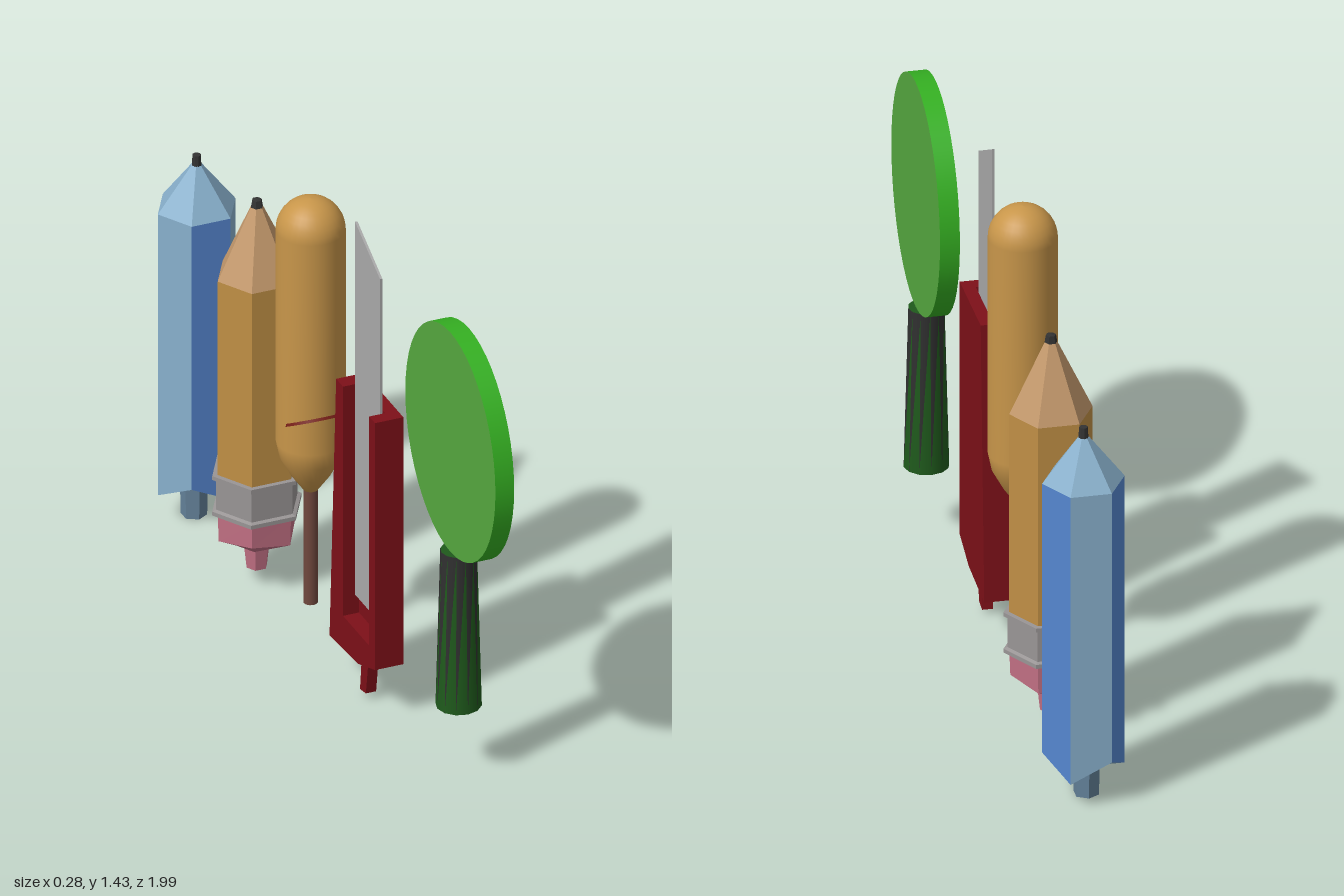
import * as THREE from 'three';

const mat = (color, extra = {}) => new THREE.MeshStandardMaterial({ color, ...extra });
const flat = { flatShading: true };

function add(parent, name, geometry, material, x = 0, y = 0, z = 0) {
  const mesh = new THREE.Mesh(geometry, material);
  mesh.name = name;
  mesh.position.set(x, y, z);
  parent.add(mesh);
  return mesh;
}

// Six-sided loft, rings listed from top to bottom as [radius, yEven, yOdd];
// sides with an odd number take material 1, the rest material 0.
function hexLoft(rings) {
  const pos = [];
  const geo = new THREE.BufferGeometry();
  const point = ([r, yEven, yOdd = yEven], k) => {
    const a = k * Math.PI / 3;
    return [r * Math.cos(a), k % 2 ? yOdd : yEven, r * Math.sin(a)];
  };
  for (let k = 0; k < 6; k++) {
    for (let i = 0; i < rings.length - 1; i++) {
      const a = point(rings[i], k), b = point(rings[i], k + 1);
      const c = point(rings[i + 1], k + 1), d = point(rings[i + 1], k);
      pos.push(...a, ...b, ...c, ...a, ...c, ...d);
    }
    const n = (rings.length - 1) * 6;
    geo.addGroup(k * n, n, k % 2);
  }
  geo.setAttribute('position', new THREE.Float32BufferAttribute(pos, 3));
  geo.computeVertexNormals();
  return geo;
}

// Extrude a side outline of [z, y] points between two x positions
function sidePlate(points, xMin, xMax) {
  const shape = new THREE.Shape(points.map(([z, y]) => new THREE.Vector2(z, y)));
  return new THREE.ExtrudeGeometry(shape, { depth: xMax - xMin, bevelEnabled: false })
    .rotateY(-Math.PI / 2).translate(xMax, 0, 0);
}

function makeMagnifier() {
  const g = new THREE.Group();
  g.name = 'magnifier';
  const lens = mat(0x55a83f);
  const disc = new THREE.CylinderGeometry(1, 1, 0.055, 48).rotateZ(Math.PI / 2);
  disc.scale(1, 0.34, 0.307);
  add(g, 'lensDisc', disc, [mat(0x35b022), lens, lens], 0.078, 1.03, 0.693);
  // Handle with dark wedges running down between green ones
  const handle = new THREE.CylinderGeometry(0.05, 0.063, 0.48, 12);
  const count = handle.index.count;
  handle.clearGroups();
  for (let i = 0; i < 24; i++) handle.addGroup(i * 3, 3, i % 2);
  handle.addGroup(72, count - 72, 1);
  add(g, 'magnifierHandle', handle, [mat(0x303030), mat(0x1f5a1c)], 0.077, 0.45, 0.688);
  return g;
}

function makeKnife() {
  const g = new THREE.Group();
  g.name = 'cutterKnife';
  const red = mat(0x7d1018, flat);
  const bottom = [[0.355, 0.165], [0.24, 0.125], [0.045, 0.112]];
  // Closed wall on one side, walls around the blade channel on the other
  add(g, 'caseWall', sidePlate([[0.09, 0.93], [0.355, 0.93], ...bottom], 0.022, 0.058), red);
  add(g, 'caseChannel', sidePlate([[0.09, 0.93], [0.137, 0.93], [0.137, 0.22], [0.315, 0.22],
    [0.315, 0.93], [0.355, 0.93], ...bottom], -0.025, 0.022), red);
  add(g, 'blade', sidePlate([[0.31, 0.28], [0.31, 1.345], [0.14, 1.435], [0.14, 0.28]], 0.009, 0.016),
    mat(0xaaaaaa, flat));
  add(g, 'tailPeg', sidePlate([[0.25, 0.15], [0.205, 0.15], [0.19, 0.015], [0.23, 0.022]], 0.002, 0.032), red);
  return g;
}

function makeStick() {
  const g = new THREE.Group();
  g.name = 'roundedStick';
  g.position.set(-0.015, 0, -0.107);
  // Rounded body that tapers down to a thin rod
  const profile = [[0, 0.485], [0.02, 0.485], [0.055, 0.535], [0.085, 0.59], [0.095, 0.64], [0.095, 1.29]];
  for (let i = 1; i <= 8; i++) {
    const a = i * Math.PI / 16;
    profile.push([0.095 * Math.cos(a), 1.29 + 0.095 * Math.sin(a)]);
  }
  add(g, 'stickBody', new THREE.LatheGeometry(profile.map(p => new THREE.Vector2(...p)), 32), mat(0xc8964a));
  add(g, 'stickRod', new THREE.CylinderGeometry(0.02, 0.02, 0.36, 12), mat(0x70483e), 0, 0.315, 0);
  const ledge = add(g, 'stickLedge', new THREE.CylinderGeometry(0.09, 0.09, 0.008, 24),
    mat(0x7a2018), 0, 0.712, 0.022);
  ledge.rotation.x = -0.5;
  return g;
}

function makePencil() {
  const g = new THREE.Group();
  g.name = 'pencil';
  g.position.set(-0.01, 0, -0.485);
  const part = (name, rings, color) => {
    const m = mat(color, flat);
    add(g, name, hexLoft(rings), [m, m]);
  };
  part('pencilLead', [[0, 1.186], [0.014, 1.184], [0.018, 1.16]], 0x333333);
  part('pencilTip', [[0.014, 1.17], [0.115, 0.955]], 0xc4996c);
  part('pencilBody', [[0.115, 0.955], [0.115, 0.34]], 0xc08f45);
  part('ferrule', [[0.115, 0.356], [0.131, 0.356], [0.131, 0.344], [0.12, 0.34],
    [0.12, 0.25], [0.131, 0.246], [0.131, 0.234], [0.1, 0.234]], 0x999595);
  part('eraser', [[0.115, 0.24], [0.112, 0.165, 0.15], [0.06, 0.125], [0.038, 0.122],
    [0.03, 0.05], [0, 0.05]], 0xc27084);
  return g;
}

function makeCrayon() {
  const g = new THREE.Group();
  g.name = 'bluePencil';
  g.position.set(-0.01, 0, -0.895);
  const pale = mat(0x88b0cc, flat), blue = mat(0x5586cf, flat), dark = mat(0x333333, flat);
  add(g, 'blueTip', hexLoft([[0.015, 1.08], [0.114, 0.95]]), [pale, pale]);
  // Sides alternate in colour and end in a zigzag edge
  add(g, 'blueBody', hexLoft([[0.114, 0.95], [0.114, 0.135, 0.08]]), [pale, blue]);
  add(g, 'blueBase', hexLoft([[0.114, 0.135, 0.08], [0, 0.08]]), [pale, pale]);
  add(g, 'blueLead', new THREE.CylinderGeometry(0.012, 0.015, 0.05, 8), dark, 0, 1.085, 0);
  add(g, 'bluePeg', new THREE.CylinderGeometry(0.038, 0.036, 0.1, 6), mat(0x64829a, flat), -0.008, 0.05, 0);
  return g;
}

export function createModel() {
  const model = new THREE.Group();
  model.name = 'stationerySet';
  model.add(makeMagnifier(), makeKnife(), makeStick(), makePencil(), makeCrayon());
  return model;
}
